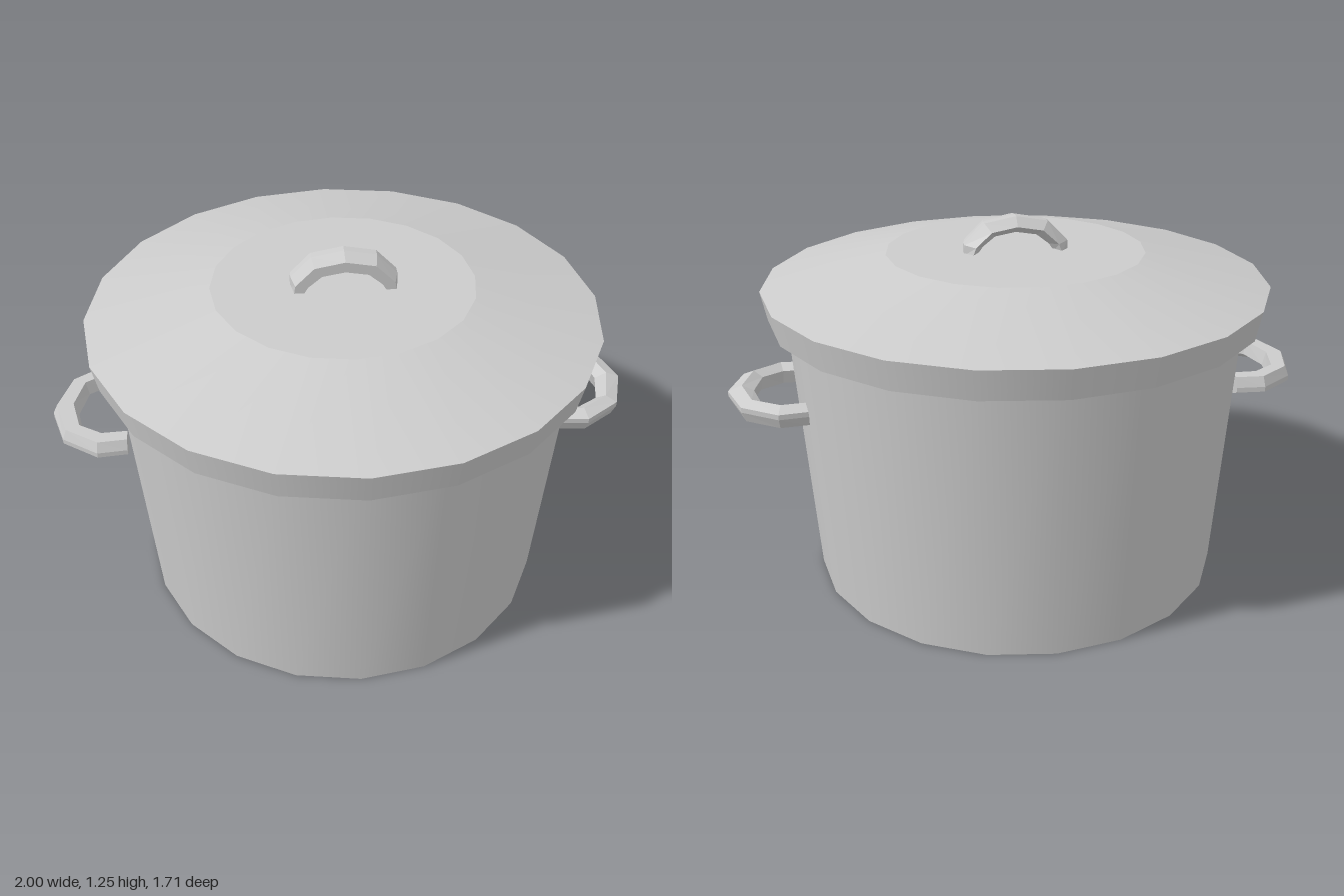
import * as THREE from 'three';

const SIDES = 20;
const AXIS_X = 0.01;

// Cross-section of a grip: [share from inner to outer path, share of half width]
const SECTION = [[0.8, -1], [1, 0], [1, 0.5], [0.45, 1], [0, 0.4], [0.15, -1]];

// Sweeps the section between an outer and an inner half path, mirrored across x = 0
function gripGeometry(outer, inner, halfWidth) {
  const mirror = (half) => [
    ...half.map(([x, y]) => [-x, y]),
    ...half.slice(0, -1).reverse(),
  ];
  const out = mirror(outer);
  const inn = mirror(inner);
  const n = SECTION.length;
  const positions = [];
  const index = [];
  out.forEach(([ox, oy], i) => {
    const [ix, iy] = inn[i];
    for (const [t, a] of SECTION) {
      positions.push(ix + (ox - ix) * t, iy + (oy - iy) * t, -a * halfWidth);
    }
  });
  for (let i = 0; i < out.length - 1; i++) {
    for (let j = 0; j < n; j++) {
      const a = i * n + j;
      const b = i * n + (j + 1) % n;
      index.push(a, a + n, b, b, a + n, b + n);
    }
  }
  // End caps
  const last = (out.length - 1) * n;
  for (let j = 1; j < n - 1; j++) {
    index.push(0, j, j + 1, last, last + j + 1, last + j);
  }
  const geometry = new THREE.BufferGeometry();
  geometry.setAttribute('position', new THREE.Float32BufferAttribute(positions, 3));
  geometry.setIndex(index);
  const flat = geometry.toNonIndexed();
  flat.computeVertexNormals();
  return flat;
}

export function createModel() {
  const model = new THREE.Group();
  model.name = 'cookingPot';
  const smooth = new THREE.MeshStandardMaterial({ color: 0xcccccc });
  const faceted = new THREE.MeshStandardMaterial({ color: 0xcccccc, flatShading: true });

  const add = (name, geometry, material, parent = model) => {
    const mesh = new THREE.Mesh(geometry, material);
    mesh.name = name;
    parent.add(mesh);
    return mesh;
  };
  const frustum = (top, bottom, y0, y1, open) =>
    new THREE.CylinderGeometry(top, bottom, y1 - y0, SIDES, 1, open)
      .translate(AXIS_X, (y0 + y1) / 2, 0);

  // Tapered body, its top tucked under the lid
  add('body', frustum(0.781, 0.713, 0, 1, false), smooth);

  // Lid: flared rim, sloping shoulder, flat top and underside
  const lid = new THREE.Group();
  lid.name = 'lid';
  model.add(lid);
  add('lidRim', frustum(0.855, 0.835, 0.935, 1.035, true), smooth, lid);
  add('lidShoulder', frustum(0.437, 0.855, 1.035, 1.137, true), smooth, lid);
  add('lidTop', new THREE.CircleGeometry(0.437, SIDES)
    .rotateX(-Math.PI / 2).translate(AXIS_X, 1.137, 0), smooth, lid);
  add('lidUnderside', new THREE.RingGeometry(0.76, 0.835, SIDES)
    .rotateX(Math.PI / 2).translate(AXIS_X, 0.935, 0), smooth, lid);

  // Arched grip on the lid
  const lidGrip = gripGeometry(
    [[0.177, 1.13], [0.175, 1.165], [0.107, 1.235], [0, 1.255]],
    [[0.13, 1.13], [0.112, 1.155], [0.07, 1.188], [0, 1.2]],
    0.058,
  );
  add('lidGrip', lidGrip.translate(0.0125, 0, 0), faceted, lid);

  // Side handles: the second is the first turned half round the z axis
  const handle = gripGeometry(
    [[0.225, 0.73], [0.234, 0.83], [0.15, 0.95], [0, 0.998]],
    [[0.155, 0.73], [0.158, 0.815], [0.115, 0.885], [0, 0.912]],
    0.035,
  );
  handle.applyMatrix4(new THREE.Matrix4().makeBasis(
    new THREE.Vector3(0, 0, -1),
    new THREE.Vector3(1, 0, 0),
    new THREE.Vector3(0, -1, 0),
  ));
  add('leftHandle', handle, faceted).position.y = 0.674;
  const rightHandle = add('rightHandle', handle, faceted);
  rightHandle.position.y = 0.66;
  rightHandle.rotation.z = Math.PI;

  return model;
}
